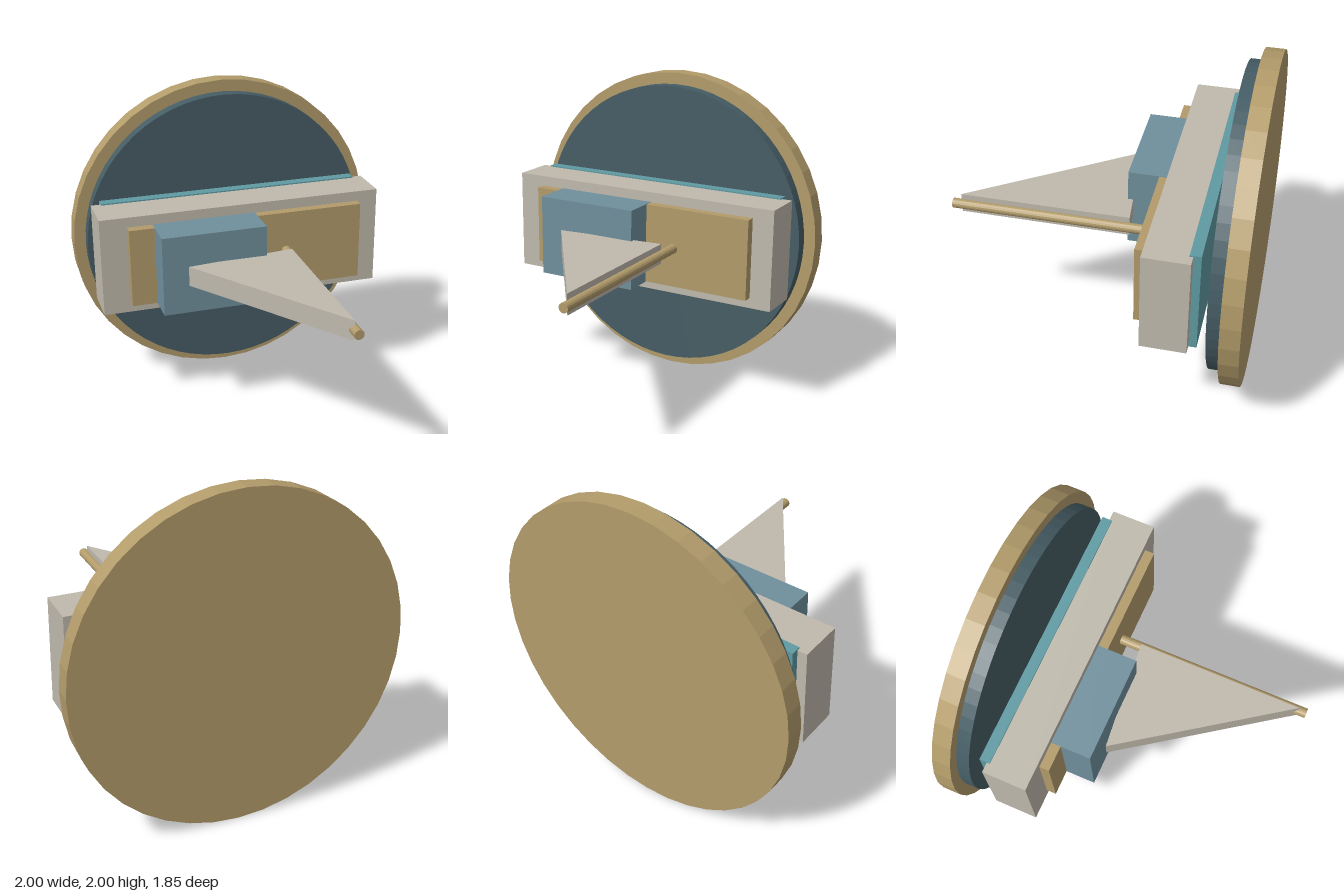
import * as THREE from 'three';

const material = (name, color) => {
  const m = new THREE.MeshStandardMaterial({ color, flatShading: true });
  m.name = name;
  return m;
};

export function createModel() {
  const group = new THREE.Group();
  const tan = material('tan', 0xb39c6b);
  const slate = material('dark slate', 0x465d65);
  const grey = material('warm grey', 0xc0baad);
  const blue = material('steel blue', 0x70909d);
  const teal = material('teal', 0x5f9ba3);

  const add = (name, geometry, mat) => {
    const mesh = new THREE.Mesh(geometry, mat);
    mesh.name = name;
    group.add(mesh);
    return mesh;
  };
  // Box given by its limits on each axis
  const box = (name, [x0, x1], [y0, y1], [z0, z1], mat) =>
    add(name, new THREE.BoxGeometry(x1 - x0, y1 - y0, z1 - z0), mat)
      .position.set((x0 + x1) / 2, (y0 + y1) / 2, (z0 + z1) / 2);
  // Cylinder lying along z
  const disc = (name, x, radius, z0, z1, sides, mat) =>
    add(name, new THREE.CylinderGeometry(radius, radius, z1 - z0, sides).rotateX(Math.PI / 2), mat)
      .position.set(x, 1, (z0 + z1) / 2);

  // Round back plate and the smaller disc on it
  disc('backDisc', 0, 1, -0.925, -0.81, 40, tan);
  disc('innerDisc', 0, 0.925, -0.81, -0.73, 64, slate);

  // Layered housing
  box('rearPlate', [-0.845, 0.84], [0.68, 1.328], [-0.675, -0.61], teal);
  box('housing', [-0.905, 0.905], [0.687, 1.32], [-0.63, -0.36], grey);
  box('frontPanel', [-0.735, 0.77], [0.752, 1.256], [-0.36, -0.3], tan);
  box('block', [-0.577, 0.08], [0.75, 1.258], [-0.36, -0.115], blue);

  // Rod pointing forward
  disc('rod', 0.27, 0.03, -0.3, 0.92, 16, tan);

  // Triangular fin beside the rod
  const outline = new THREE.Shape([[-0.42, 0.095], [0.262, -0.87], [0.262, 0.165]]
    .map(([x, y]) => new THREE.Vector2(x, y)));
  const fin = new THREE.ExtrudeGeometry(outline, { depth: 0.125, bevelEnabled: false });
  add('fin', fin.rotateX(-Math.PI / 2), grey).position.y = 0.94;

  return group;
}
